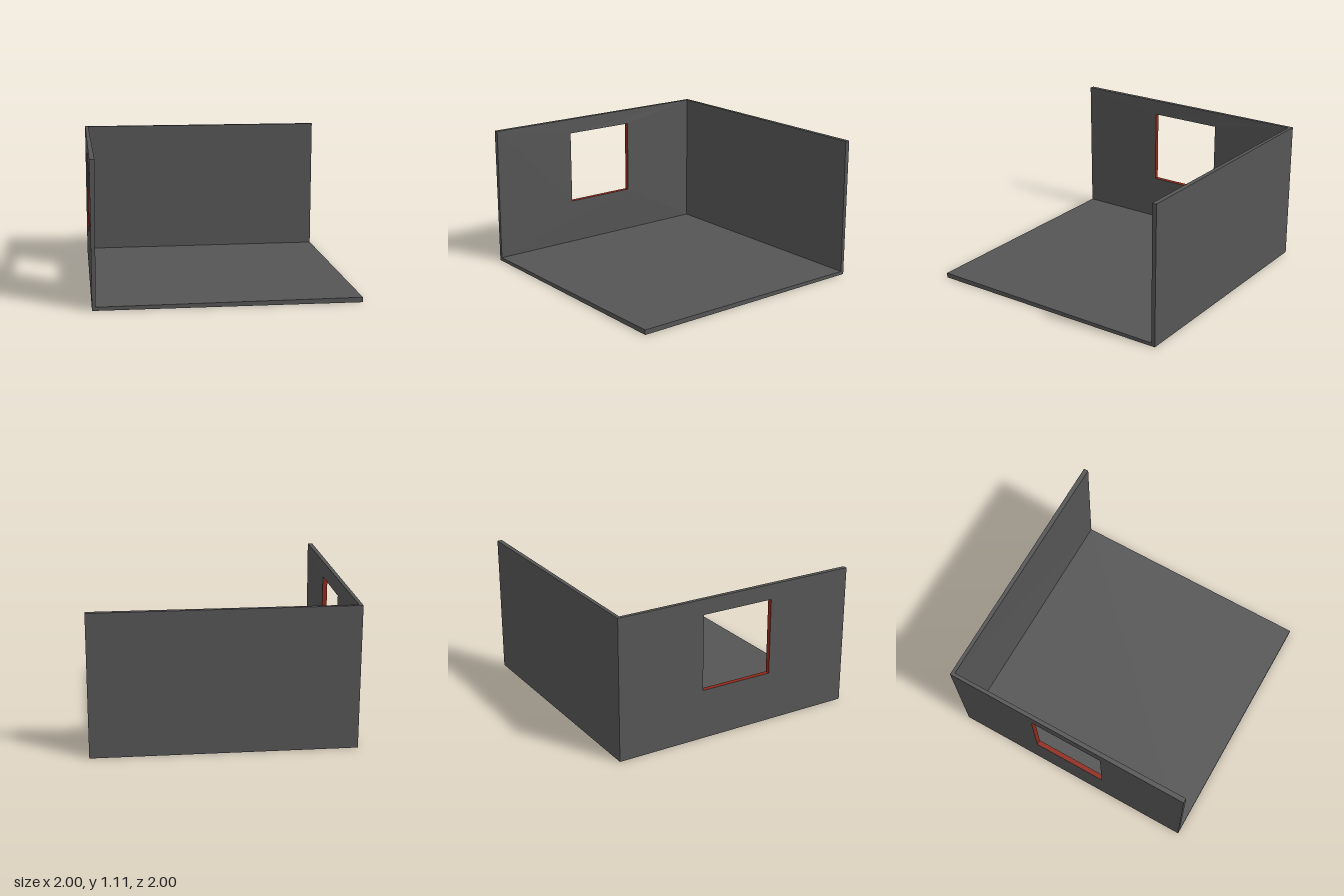
import * as THREE from 'three';

const H = 1.105;                       // wall height
const T = 0.038, E = 0.027, C = 0.022; // thickness at free ends, shared edges, inner corner

const v = (x, y, z) => new THREE.Vector3(x, y, z);

// Flat-shaded mesh from a list of four-cornered faces
function quadMesh(name, quads, material) {
  const points = quads.flatMap(([a, b, c, d]) => [a, b, c, a, c, d]);
  const geometry = new THREE.BufferGeometry().setFromPoints(points);
  geometry.computeVertexNormals();
  const mesh = new THREE.Mesh(geometry, material);
  mesh.name = name;
  return mesh;
}

// Band of faces between two matching loops
const band = (from, to) => from.map((p, i) => {
  const j = (i + 1) % from.length;
  return [p, from[j], to[j], to[i]];
});

export function createModel() {
  const model = new THREE.Group();
  model.name = 'openRoom';

  const wallGrey = new THREE.MeshStandardMaterial({ color: 0x555555 });
  wallGrey.name = 'wallGrey';
  const windowRed = new THREE.MeshStandardMaterial({ color: 0x8f2a1c });
  windowRed.name = 'windowRed';

  // Room corners as [outside point, inside point]
  const corner = [v(-1, 0, -1), v(-1 + C, C, -1 + C)];
  const floorRight = [v(1, 0, -1), v(1, E, -1 + E)];
  const floorFront = [v(-1, 0, 1), v(-1 + E, E, 1)];
  const floorEnd = [v(1, 0, 1), v(1, T, 1)];
  const wallTop = [v(-1, H, -1), v(-1 + E, H, -1 + E)];
  const backEnd = [v(1, H, -1), v(1, H, -1 + T)];
  const sideEnd = [v(-1, H, 1), v(-1 + T, H, 1)];

  // Panel with rims on its two free edges, optionally with an opening
  function panel(name, corners, hole) {
    const outer = corners.map(c => c[0]), inner = corners.map(c => c[1]);
    const quads = [1, 2].map(i => [outer[i + 1], outer[i], inner[i], inner[i + 1]]);
    if (hole) {
      quads.push(...band(outer, hole.outer), ...band(hole.inner, inner));
    } else {
      quads.push(outer, [...inner].reverse());
    }
    model.add(quadMesh(name, quads, wallGrey));
  }

  panel('floor', [corner, floorRight, floorEnd, floorFront]);
  panel('backWall', [corner, wallTop, backEnd, floorRight]);

  // Side wall with a square window opening
  const w = 0.297, y0 = 0.39, y1 = 0.985;
  const loop = x => [v(x, y0, -w), v(x, y0, w), v(x, y1, w), v(x, y1, -w)];
  const hole = { outer: loop(-1), inner: loop(-1 + T) };
  panel('windowWall', [corner, floorFront, sideEnd, wallTop], hole);

  // Painted lining of the window opening
  model.add(quadMesh('windowLining', band(hole.outer, hole.inner), windowRed));

  return model;
}
